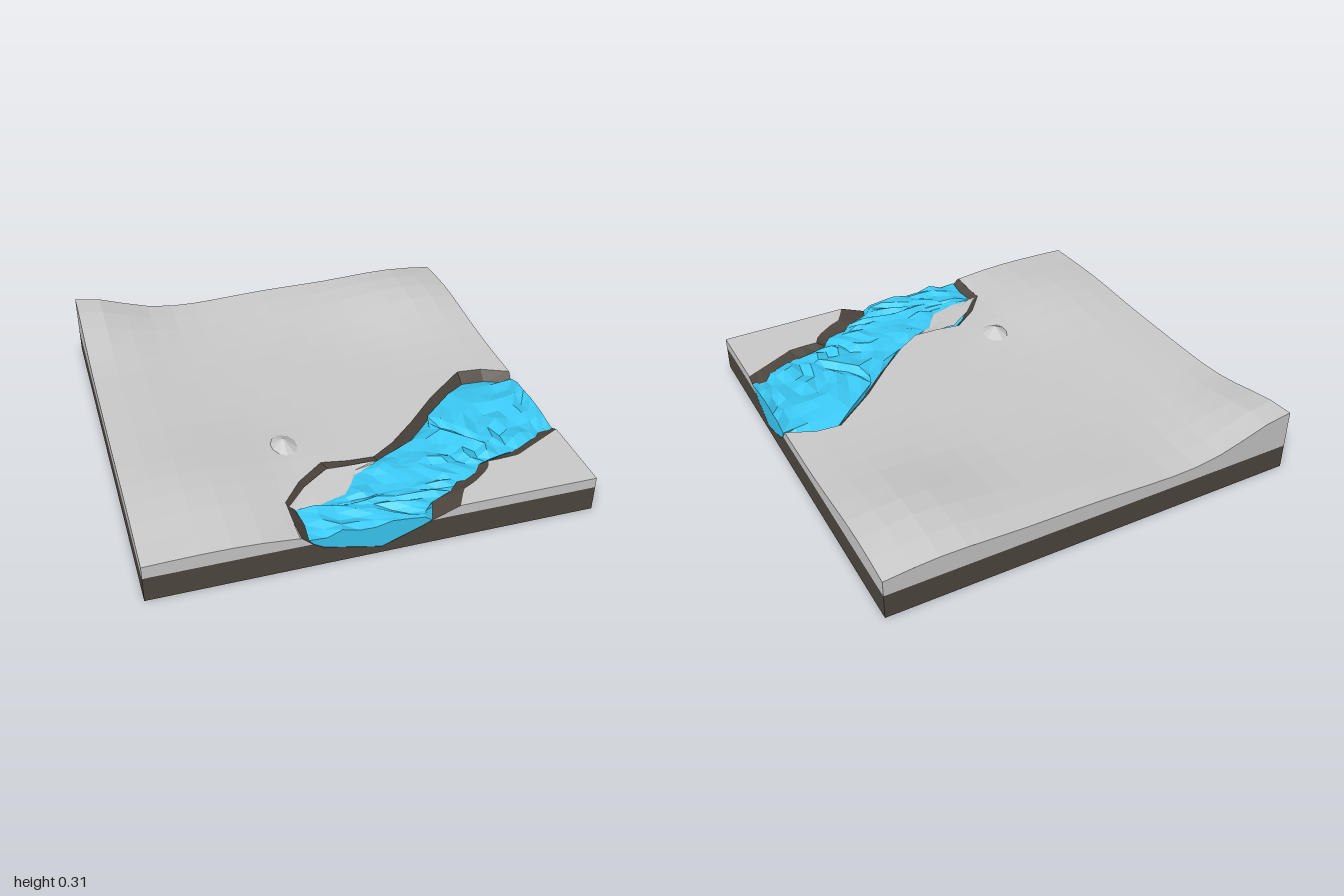
import * as THREE from 'three';

const mat = (color) => new THREE.MeshStandardMaterial({ color, flatShading: true, side: THREE.DoubleSide });
const grey = mat(0xcccccc), soil = mat(0x504840), blue = mat(0x3cccf8);

// Surface through rows of [x, y, z] points
function skin(name, rows, material) {
  const n = rows[0].length, index = [];
  for (let i = 0; i < rows.length - 1; i++) {
    for (let j = 0; j < n - 1; j++) {
      const a = i * n + j, b = a + n;
      index.push(a, a + 1, b, b, a + 1, b + 1);
    }
  }
  const g = new THREE.BufferGeometry();
  g.setAttribute('position', new THREE.Float32BufferAttribute(rows.flat(2), 3));
  g.setIndex(index);
  const flat = g.toNonIndexed();
  flat.computeVertexNormals();
  const mesh = new THREE.Mesh(flat, material);
  mesh.name = name;
  return mesh;
}

// Rolling hills: centre x, z, height, spread x, z
const hills = [
  [-1, -1, 0.135, 0.32, 0.42], [0.75, -0.75, 0.07, 0.35, 0.37], [-0.7, 0.6, 0.045, 0.42, 0.4],
  [-1, -0.15, 0.025, 0.4, 0.45], [0.1, -1, 0.03, 0.45, 0.4], [-0.25, 0.85, -0.025, 0.2, 0.25],
];
const height = (x, z) => hills.reduce(
  (h, [cx, cz, a, sx, sz]) => h + a * Math.exp(-(((x - cx) / sx) ** 2) - ((z - cz) / sz) ** 2), 0.17);

// River stations: north rim, south rim, north water edge, south water edge (x, z each)
const stations = [
  [-0.34, 1, 0.36, 1, -0.31, 1, 0.2, 1],
  [-0.345, 0.88, 0.4, 0.93, -0.3, 0.9, 0.22, 0.96],
  [-0.345, 0.77, 0.42, 0.9, -0.31, 0.8, 0.26, 0.92],
  [-0.25, 0.65, 0.48, 0.87, -0.2, 0.81, 0.37, 0.87],
  [-0.12, 0.55, 0.55, 0.82, -0.08, 0.78, 0.42, 0.82],
  [0, 0.57, 0.58, 0.79, 0, 0.65, 0.53, 0.81],
  [0.12, 0.575, 0.6, 0.75, 0.08, 0.6, 0.57, 0.73],
  [0.235, 0.5, 0.67, 0.75, 0.25, 0.52, 0.63, 0.71],
  [0.38, 0.37, 0.75, 0.745, 0.45, 0.42, 0.72, 0.69],
  [0.54, 0.21, 0.82, 0.71, 0.48, 0.32, 0.78, 0.69],
  [0.75, 0.04, 0.88, 0.68, 0.65, 0.17, 0.86, 0.66],
  [0.87, 0.05, 0.94, 0.65, 0.87, 0.16, 0.94, 0.65],
  [1, 0.11, 1, 0.62, 1, 0.14, 1, 0.61],
];
const mix = (a, b, t) => a + (b - a) * t;
const bed = [[0, 0], [0.07, 0.12], [0.14, 0.09], [0.5, 0.03], [0.76, 0.1], [0.82, 0.12], [1, 0]];

// Channel cross-section, rim to rim
const channel = ([ax, az, bx, bz]) => bed.map(([f, y]) => {
  const x = mix(ax, bx, f), z = mix(az, bz, f);
  return [x, y || height(x, z), z];
});

let seed = 7;
const rand = () => (seed = (seed * 16807) % 2147483647) / 2147483647;

// Closed water section: choppy top, then back along the bed
function waterSection(s) {
  const top = [];
  for (let k = 0; k <= 7; k++) {
    const t = k / 7, edge = k === 0 || k === 7;
    top.push([mix(s[4], s[6], t), edge ? 0.145 : 0.137 + 0.033 * rand(), mix(s[5], s[7], t)]);
  }
  const low = channel(s).slice(1, 6).reverse().map(([x, y, z]) => [x, y + 0.002, z]);
  return [...top, ...low, top[0]];
}

// Closes an end section with a flat sheet
function cap(name, ring) {
  const c = new THREE.Vector3();
  ring.slice(0, -1).forEach((p) => c.add(new THREE.Vector3(...p)));
  c.divideScalar(ring.length - 1);
  return skin(name, [ring, ring.map(() => c.toArray())], blue);
}

const line = Array.from({ length: 17 }, (_, i) => -1 + i / 8);
const columns = (x0, x1, extra = []) =>
  [...new Set([x0, x1, ...extra, ...line.filter((v) => v > x0 && v < x1)])].sort((a, b) => a - b);

function bankZ(points, x) {
  for (let i = 1; i < points.length; i++) {
    const [a, b] = [points[i - 1], points[i]];
    if (x <= b[0]) return mix(a[1], b[1], (x - a[0]) / (b[0] - a[0]));
  }
  return points[points.length - 1][1];
}

export function createModel() {
  const model = new THREE.Group();
  model.name = 'riverLandscape';

  // Ground, trimmed along both river banks
  const north = stations.slice(2).map((s) => [s[0], s[1]]);
  const south = stations.map((s) => [s[2], s[3]]);
  const ground = (name, xs, trim) => model.add(skin(name, xs.map((x) => line.map((v) => {
    const z = trim(x, v);
    return [x, height(x, z), z];
  })), grey));
  ground('westGround', columns(-1, -0.345), (x, z) => z);
  ground('northGround', columns(-0.345, 1, north.map((p) => p[0])), (x, z) => Math.min(z, bankZ(north, x)));
  ground('southGround', columns(0.36, 1, south.map((p) => p[0])), (x, z) => Math.max(z, bankZ(south, x)));

  // Outer walls: soil below, grey above, notched where the river leaves
  const first = channel(stations[0]), last = channel(stations[12]);
  const along = (f) => line.map((v) => { const [x, z] = f(v); return [x, height(x, z), z]; });
  const frontEdge = along((v) => [v, 1]), rightEdge = along((v) => [1, v]);
  const walls = {
    front: [...frontEdge.filter((p) => p[0] < -0.34), ...first, ...frontEdge.filter((p) => p[0] > 0.36)],
    right: [...rightEdge.filter((p) => p[2] < 0.11), ...last, ...rightEdge.filter((p) => p[2] > 0.62)].reverse(),
    back: along((v) => [-v, -1]),
    left: along((v) => [-1, v]),
  };
  for (const [side, edge] of Object.entries(walls)) {
    const mid = edge.map(([x, y, z]) => [x, Math.min(0.12, y), z]);
    model.add(skin(side + 'SoilWall', [mid, edge.map(([x, , z]) => [x, 0, z])], soil));
    model.add(skin(side + 'GroundWall', [edge, mid], grey));
  }

  // River bed and banks
  model.add(skin('riverBed', stations.map(channel), soil));

  // Low shore behind the thin crack
  model.add(skin('shore', stations.slice(2, 7).map(([ax, az, , , wx, wz]) => [0.1, 0.5, 1].map((t) =>
    [mix(ax, wx, t) + 0.01, mix(0.16, 0.14, t), mix(az, wz, t) + 0.01])), grey));

  // Water, with half-way sections for a finer chop
  const fine = stations.flatMap((s, i) => i === 12 ? [s]
    : [s, s.map((v, k) => mix(v, stations[i + 1][k], 0.5))]);
  const water = fine.map(waterSection);
  model.add(skin('water', water, blue));
  model.add(cap('frontWaterFace', water[0]), cap('rightWaterFace', water[water.length - 1]));

  // Small mound
  const mound = new THREE.Mesh(new THREE.ConeGeometry(1, 0.055, 10), grey);
  mound.name = 'mound';
  mound.scale.set(0.085, 1, 0.11);
  mound.position.set(-0.25, 0.192, 0.39);
  model.add(mound);

  return model;
}
